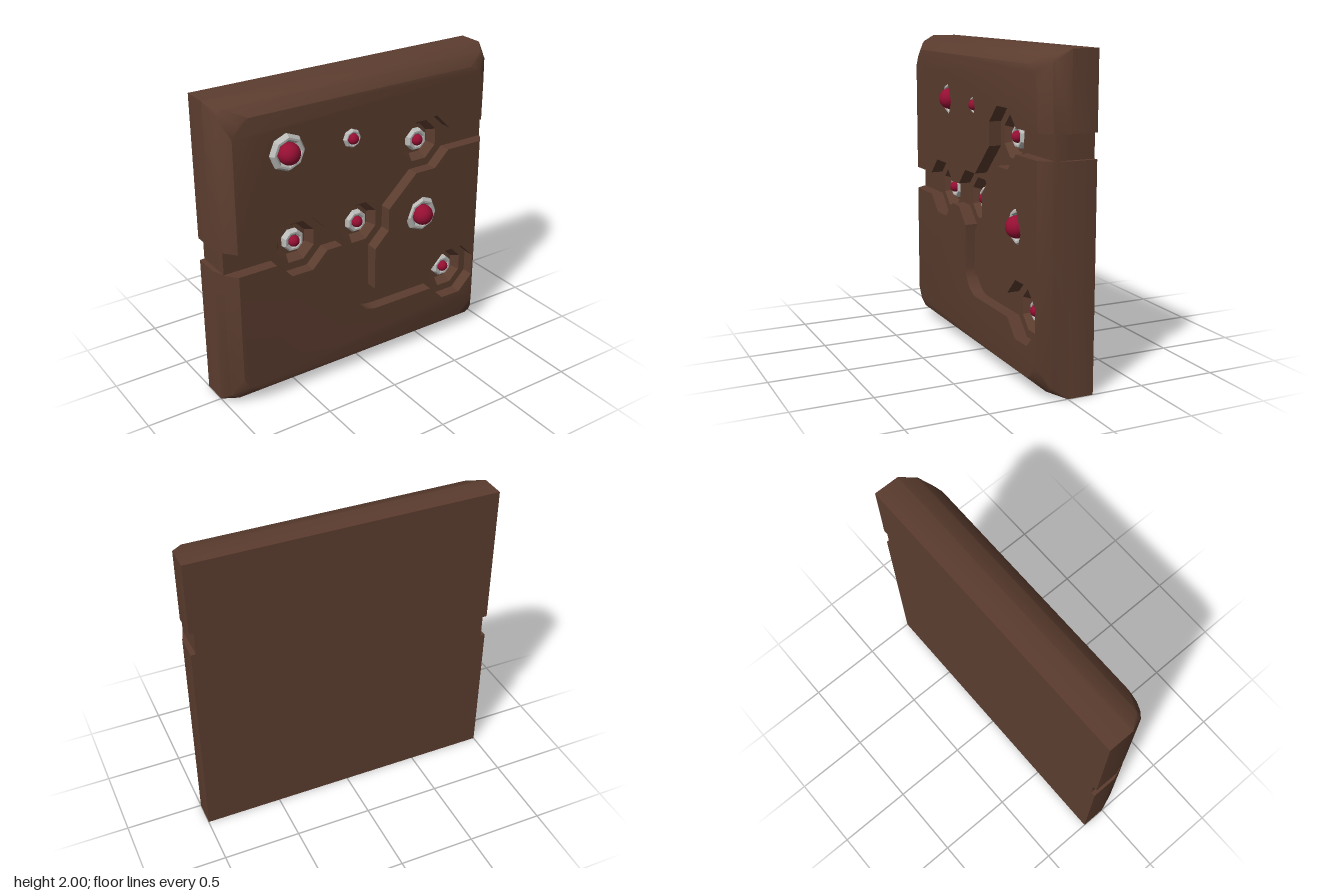
import * as THREE from 'three';
import { mergeGeometries, toCreasedNormals } from 'three/addons/utils/BufferGeometryUtils.js';

const BACK = -0.165, FLOOR = 0.085, FRONT = 0.165;
const A = 0.18, B = 0.075; // node octagon: centre to side, half a side (= half channel width)
const NODES = [[-0.47, 1.005], [0, 1.005], [0.465, 1.46], [0.72, 0.46]];
const DISHES = [ // x, y, rim radius, ring radius, bottom z, gem z
  [-0.5, 1.6, 0.2, 0.12, 0.05, 0.09],
  [0.51, 0.925, 0.2, 0.12, 0.05, 0.09],
  [-0.06, 1.6, 0.135, 0.06, 0.085, 0.11],
];
const BEVEL = [[FLOOR, 0.03], [0.1, 0.035], [FRONT, 0.09]]; // z, inset

// three points of an outer corner at a given inset; q counts quarter turns from top right
function corner(inset, q) {
  const c = 1 - inset, k = inset / 0.09 * 0.11, m = c - 0.36 * k;
  return [[c, c - k], [m, m], [c - k, c]].map(([x, y]) => {
    for (let i = 0; i < q; i++) [x, y] = [-y, x];
    return [x, y + 1];
  });
}

// octagon corners of a node, picked by signs: walk(n, 'Ab') = (+A, -B)
function walk(n, picks) {
  const table = {
    E1: [A, B], N1: [B, A], N2: [-B, A], W1: [-A, B],
    W2: [-A, -B], S1: [-B, -A], S2: [B, -A], E2: [A, -B],
  };
  return picks.split(' ').map(p => [NODES[n][0] + table[p][0], NODES[n][1] + table[p][1]]);
}

// outlines, counterclockwise seen from the front
function bodyOutline(i) {
  const c = 1 - i;
  return [[c, 1.535], ...corner(i, 0), ...corner(i, 1),
    [-c, 1.08], [-0.97, 1.08], [-0.97, 0.93], [-c, 0.93],
    ...corner(i, 2), ...corner(i, 3), [c, 1.385], [0.97, 1.385], [0.97, 1.535]];
}
function upperOutline(i) {
  return [[1 - i, 1.535], ...corner(i, 0), ...corner(i, 1), [i - 1, 1.08],
    ...walk(0, 'W1 N2 N1 E1'), ...walk(1, 'W1 N2 N1'), ...walk(2, 'W2 W1 N2 N1 E1')];
}
function lowerOutline(i) {
  const bend = [];
  for (let s = 0; s <= 6; s++) {
    const t = Math.PI / 2 * s / 6;
    bend.push([0.09 - 0.165 * Math.sin(t), 0.55 - 0.165 * Math.cos(t)]);
  }
  return [[i - 1, 0.93], ...corner(i, 2), ...corner(i, 3), [1 - i, 1.385],
    ...walk(2, 'E2 S2 S1'), ...walk(1, 'E1 E2 S2'), [0.075, 0.535],
    ...walk(3, 'W1 N2 N1 E1 E2 S2 S1 W2'), ...bend,
    ...walk(1, 'S1 W2'), ...walk(0, 'E2 S2 S1 W2')];
}

// side walls through the outlines at each [z, inset] level
function loft(outline, levels) {
  const pos = [];
  for (let l = 0; l + 1 < levels.length; l++) {
    const [z0, i0] = levels[l], [z1, i1] = levels[l + 1];
    const lo = outline(i0), hi = outline(i1);
    lo.forEach((p, i) => {
      const j = (i + 1) % lo.length;
      const a = [...p, z0], b = [...lo[j], z0], c = [...hi[j], z1], d = [...hi[i], z1];
      pos.push(...a, ...b, ...c, ...a, ...c, ...d);
    });
  }
  return new THREE.BufferGeometry().setAttribute('position', new THREE.Float32BufferAttribute(pos, 3));
}

const toVectors = pts => pts.map(p => new THREE.Vector2(...p));

function octagon(x, y, r, turn) {
  return Array.from({ length: 8 }, (_, i) => {
    const t = turn + i * Math.PI / 4;
    return [x + r * Math.cos(t), y + r * Math.sin(t)];
  });
}

// flat face with octagonal openings
function cap(pts, holes, z) {
  const shape = new THREE.Shape(toVectors(pts));
  holes.forEach(h => shape.holes.push(new THREE.Path(toVectors(h))));
  const g = new THREE.ShapeGeometry(shape).toNonIndexed();
  g.deleteAttribute('uv');
  g.deleteAttribute('normal');
  return g.translate(0, 0, z);
}

// eight-sided lathe around the z axis, profile as [radius, z]
function lathe8(profile, turn) {
  const g = new THREE.LatheGeometry(toVectors(profile), 8);
  g.rotateX(Math.PI / 2).rotateZ(turn);
  return toCreasedNormals(g, 0.3);
}

export function createModel() {
  const wood = new THREE.MeshStandardMaterial({ color: 0x5c3d2f });
  wood.name = 'brown';
  const silver = new THREE.MeshStandardMaterial({ color: 0xbcbcba });
  silver.name = 'silver';
  const red = new THREE.MeshStandardMaterial({ color: 0x960f33 });
  red.name = 'crimson';

  const model = new THREE.Group();
  model.name = 'jewelledPanel';
  const add = (name, geometry, material, parent = model) => {
    const mesh = new THREE.Mesh(geometry, material);
    mesh.name = name;
    parent.add(mesh);
    return mesh;
  };

  // slab with bevelled front, cut by the channel
  const turn = Math.PI / 8, apothem = 1 / Math.cos(turn);
  const nodeHoles = NODES.map(([x, y]) => octagon(x, y, 0.13 * apothem, turn));
  const dishHoles = DISHES.map(([x, y, r]) => octagon(x, y, r, 0));
  const back = cap(bodyOutline(0).map(([x, y]) => [-x, y]), [], 0).rotateY(Math.PI).translate(0, 0, BACK);
  const slab = mergeGeometries([
    back,
    loft(bodyOutline, [[BACK, 0], [0, 0], BEVEL[0]]),
    cap(bodyOutline(0.03), [...nodeHoles, ...dishHoles], FLOOR),
    loft(upperOutline, BEVEL),
    cap(upperOutline(0.09), [dishHoles[0], dishHoles[2]], FRONT),
    loft(lowerOutline, BEVEL),
    cap(lowerOutline(0.09), [dishHoles[1]], FRONT),
  ]);
  add('slab', toCreasedNormals(slab, 0.6), wood);

  // silver ring with a round gem
  function jewel(parent, r, gemR, base, top, gemZ, angle) {
    const inner = gemR * 1.08, rim = r * 0.86, mid = (rim + inner) / 2;
    add('ring', lathe8([[r, base], [r, top - r * 0.2], [rim, top], [mid, top], [inner, top - r * 0.12], [inner, base]], angle), silver, parent);
    add('gem', new THREE.SphereGeometry(gemR, 24, 16).translate(0, 0, gemZ), red, parent);
  }

  // jewels set in pits along the channel
  for (const [x, y] of NODES) {
    const group = new THREE.Group();
    group.name = 'channelJewel';
    group.position.set(x, y, 0);
    add('pit', lathe8([[0.13 * apothem, FLOOR], [0.095 * apothem, 0.03], [0, 0.03]], turn), wood, group);
    jewel(group, 0.075, 0.037, 0.03, 0.07, 0.063, turn);
    model.add(group);
  }

  // jewels set in soft dishes on the face
  for (const [x, y, rim, r, base, gemZ] of DISHES) {
    const group = new THREE.Group();
    group.name = 'faceJewel';
    group.position.set(x, y, 0);
    const dish = lathe8([[rim, FRONT], [r * 0.95, base], [0, base]], 0);
    const n = dish.attributes.normal;
    for (let i = 0; i < n.count; i++) n.setXYZ(i, 0, 0, 1); // shades evenly with the face
    add('dish', dish, wood, group);
    jewel(group, r, r * 0.58, base, gemZ + 0.005, gemZ, 0);
    model.add(group);
  }
  return model;
}
